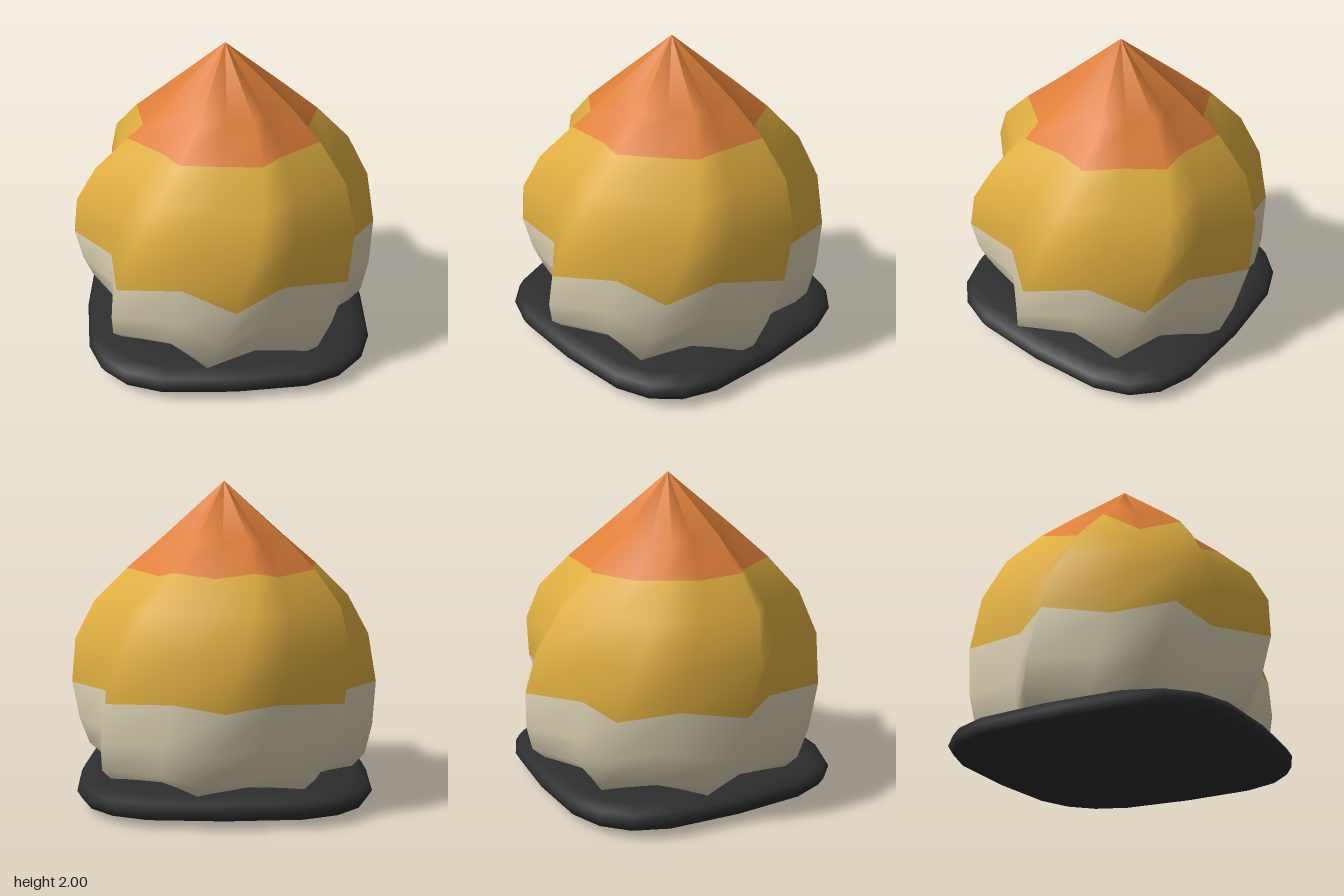
import * as THREE from 'three';

const mat = (name, color) => {
  const m = new THREE.MeshStandardMaterial({ color });
  m.name = name;
  return m;
};

// Stacks closed rings of equal size into a smooth skin; bands lists [ring count, material index]
function skin(rings, bands) {
  const n = rings[0].length;
  const index = [];
  const g = new THREE.BufferGeometry();
  let j = 0;
  bands.forEach(([count, material]) => {
    const start = index.length;
    for (const end = j + count; j < end; j++) {
      for (let i = 0; i < n; i++) {
        const k = (i + 1) % n;
        const a = j * n + i, b = j * n + k, c = a + n, d = b + n;
        if (j > 0 || rings[0][0].distanceTo(rings[0][1]) > 1e-4) index.push(a, b, d);
        if (j < rings.length - 2 || rings[j + 1][0].distanceTo(rings[j + 1][1]) > 1e-4) index.push(a, d, c);
      }
    }
    g.addGroup(start, index.length - start, material);
  });
  g.setFromPoints(rings.flat());
  g.setIndex(index);
  g.computeVertexNormals();
  return g;
}

export function createModel() {
  const model = new THREE.Group();
  const cream = mat('cream', 0xded4b5);
  const gold = mat('gold', 0xdfae40);
  const orange = mat('orange', 0xe0803a);
  const black = mat('black', 0x2d2d2d);

  // Twisted eight-lobed dome: height, ridge radius, drop of the valleys
  const profile = [
    [0.08, 0.66, 0], [0.15, 0.82, 0.01], [0.25, 0.92, 0.01], [0.43, 0.967, 0], [0.7, 0.995, 0],
    [1.0, 0.96, 0.015], [1.25, 0.84, 0.03], [1.46, 0.637, 0.04], [1.65, 0.415, 0.03], [2, 0, 0],
  ];
  const domeRings = profile.map(([y, r, drop]) => {
    const twist = THREE.MathUtils.degToRad(21.5 * (y - 0.7));
    return Array.from({ length: 16 }, (_, i) => {
      const a = twist + (i * Math.PI) / 8;
      const valley = i % 2;
      const rad = r * (valley ? 0.81 : 1);
      return new THREE.Vector3(rad * Math.cos(a), y - valley * drop, -rad * Math.sin(a));
    });
  });
  const dome = new THREE.Mesh(skin(domeRings, [[4, 0], [3, 1], [2, 2]]), [cream, gold, orange]);
  dome.name = 'twistedDome';
  model.add(dome);

  // Flat rounded-square base slab
  const soft = (v) => (Math.abs(v) < 1e-6 ? 0 : Math.sign(v) * Math.abs(v) ** 0.6);
  const baseRings = Array.from({ length: 11 }, (_, j) => {
    const t = ((j - 5) * Math.PI) / 10;
    const r = 0.942 * soft(Math.cos(t));
    return Array.from({ length: 20 }, (_, i) => {
      const a = (i * Math.PI) / 10;
      return new THREE.Vector3(r * soft(Math.cos(a)), 0.1 + 0.1 * soft(Math.sin(t)), -r * soft(Math.sin(a)));
    });
  });
  const base = new THREE.Mesh(skin(baseRings, [[10, 0]]), [black]);
  base.name = 'base';
  model.add(base);

  return model;
}
